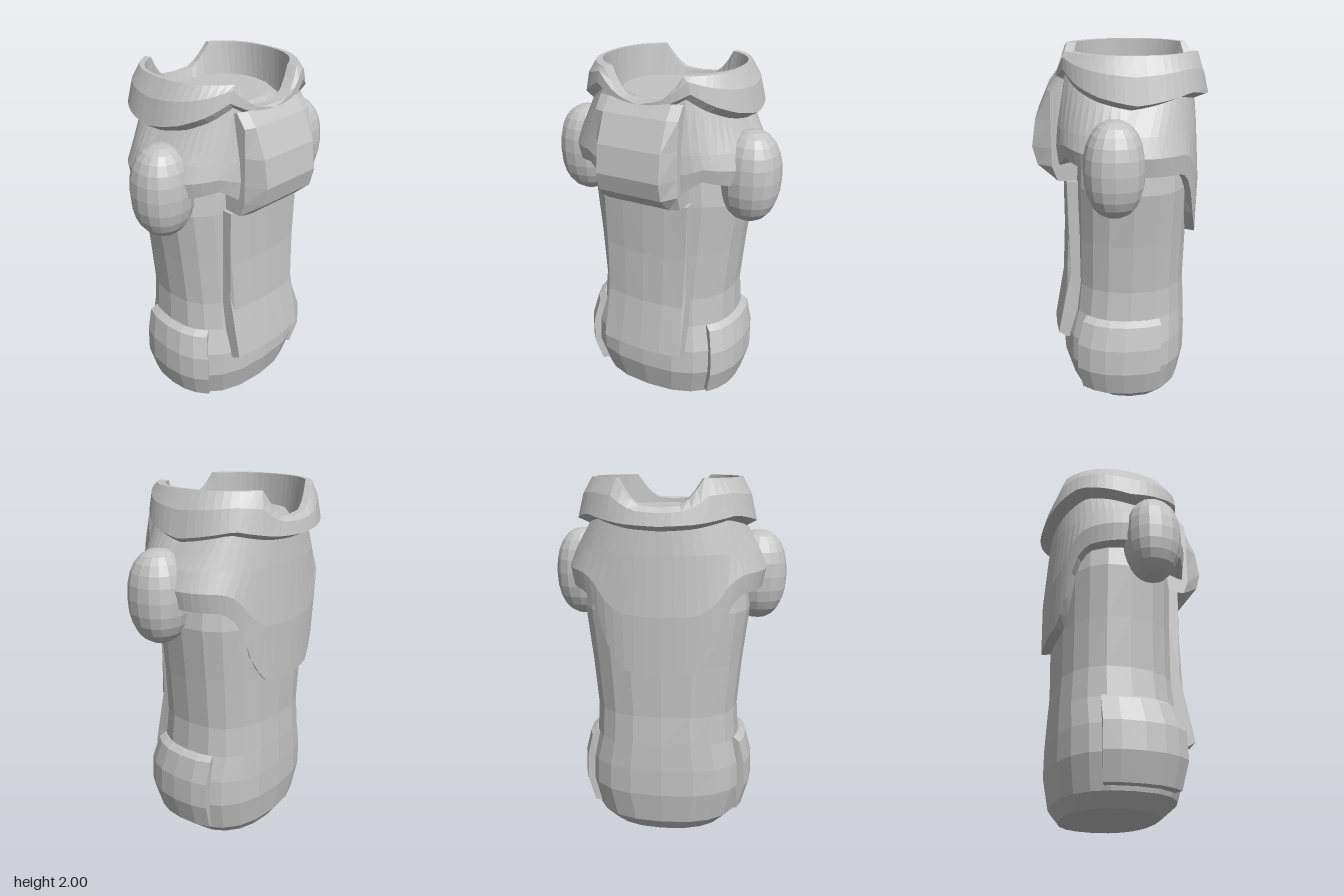
import * as THREE from 'three';

// Linear interpolation through [key, value] pairs
function lerpTable(table, k) {
  for (let i = 1; i < table.length; i++) {
    const [k0, v0] = table[i - 1], [k1, v1] = table[i];
    if (k <= k1) return v0 + (v1 - v0) * (k - k0) / (k1 - k0);
  }
  return table[table.length - 1][1];
}

// Point on a rounded oval; deg runs from the front (0) past +x (90) to the back (180)
function oval(deg, y, a, front, back, power = 2.3) {
  const t = deg * Math.PI / 180, p = 2 / power;
  const s = Math.sin(t), c = Math.cos(t);
  const bend = v => Math.sign(v) * Math.abs(v) ** p;
  return [a * bend(s), y, (front + back) / 2 + (front - back) / 2 * bend(c)];
}

// Skin over closed rings; either joined end to start or capped
function loft(rings, joined = false) {
  const n = rings[0].length, m = rings.length;
  const pos = rings.flat(2), idx = [];
  for (let i = 0; i < (joined ? m : m - 1); i++) {
    for (let j = 0; j < n; j++) {
      const a = i * n + j, b = i * n + (j + 1) % n;
      const k = ((i + 1) % m) * n, c = k + j, d = k + (j + 1) % n;
      idx.push(a, b, d, a, d, c);
    }
  }
  if (!joined) {
    [0, m - 1].forEach(r => {
      const mid = pos.length / 3;
      for (let q = 0; q < 3; q++) pos.push(rings[r].reduce((s, v) => s + v[q], 0) / n);
      for (let j = 0; j < n; j++) {
        const a = r * n + j, b = r * n + (j + 1) % n;
        if (r === 0) idx.push(mid, b, a); else idx.push(mid, a, b);
      }
    });
  }
  // Turn the faces outward if the enclosed volume is negative
  const at = i => new THREE.Vector3().fromArray(pos, i * 3);
  let volume = 0;
  for (let i = 0; i < idx.length; i += 3) volume += at(idx[i]).dot(at(idx[i + 1]).cross(at(idx[i + 2])));
  if (volume < 0) idx.reverse();
  const g = new THREE.BufferGeometry();
  g.setAttribute('position', new THREE.Float32BufferAttribute(pos, 3));
  g.setIndex(idx);
  const flat = g.toNonIndexed();
  flat.computeVertexNormals();
  return flat;
}

const steps = (from, to, count) => Array.from({ length: count + 1 }, (_, i) => from + (to - from) * i / count);

export function createModel() {
  const model = new THREE.Group();
  const grey = new THREE.MeshStandardMaterial({ color: 0xc4c4c4, flatShading: true });
  grey.name = 'plainGrey';
  const add = (name, geometry) => {
    const mesh = new THREE.Mesh(geometry, grey);
    mesh.name = name;
    model.add(mesh);
    return mesh;
  };

  // Body: y, half width, front z, back z, squareness; ends in a low dome inside the collar
  const bodyRows = [
    [0, 0.34, 0.21, -0.31, 2.3], [0.07, 0.415, 0.29, -0.36, 2.4], [0.25, 0.46, 0.34, -0.39, 2.5],
    [0.4, 0.455, 0.335, -0.39, 2.5], [0.55, 0.415, 0.295, -0.385, 2.5], [0.72, 0.405, 0.275, -0.375, 2.5],
    [1.0, 0.43, 0.27, -0.38, 2.5], [1.3, 0.465, 0.27, -0.39, 2.5], [1.5, 0.44, 0.26, -0.38, 2.4],
    [1.75, 0.39, 0.27, -0.36, 2.3], [1.845, 0.287, 0.18, -0.31, 2.3],
  ];
  add('body', loft(bodyRows.map(r => steps(0, 342, 19).map(d => oval(d, ...r)))));

  // Collar: hem, lip and rim heights by angle from front to back
  const hem = [[0, 1.4], [20, 1.4], [26, 1.42], [34, 1.48], [60, 1.44], [100, 1.42], [130, 1.41],
    [141, 1.34], [152, 1.1], [162, 1.0], [180, 0.98]];
  const lip = [[0, 1.8], [30, 1.92], [45, 1.86], [65, 1.81], [90, 1.77], [130, 1.82], [160, 1.78], [180, 1.77]];
  const rim = [[0, 1.86], [12, 1.87], [20, 1.91], [30, 2], [150, 2], [160, 1.91], [168, 1.87], [180, 1.86]];
  const collar = steps(0, 354, 59).map(d => {
    const k = d > 180 ? 360 - d : d;
    const h = lerpTable(hem, k), l = lerpTable(lip, k), r = lerpTable(rim, k);
    return [
      [h, 0.43, 0.23, -0.36],
      [h, 0.53, 0.36, -0.435],
      [(h + 1.62) / 2, 0.55, 0.37, -0.44],
      [1.62, 0.51, 0.365, -0.42],
      [l - 0.03, 0.43, 0.33, -0.41],
      [l, 0.485, 0.345, -0.48],
      [(l + r) / 2 + 0.02, 0.455, 0.345, -0.465],
      [r, 0.405, 0.33, -0.44],
      [r, 0.385, 0.27, -0.4],
      [1.74, 0.385, 0.265, -0.355],
    ].map(p => oval(d, ...p));
  });
  add('collar', loft(collar, true));

  // Bulging block at the front of the collar: y, z profile, with chamfered sides
  const blockProfile = [[1.32, 0.24], [1.32, 0.36], [1.4, 0.45], [1.5, 0.475], [1.65, 0.452],
    [1.8, 0.385], [1.87, 0.33], [1.85, 0.28]];
  add('frontBlock', loft([-0.235, -0.18, 0.18, 0.235].map(x =>
    blockProfile.map(([y, z]) => [x, y, Math.abs(x) > 0.2 ? Math.min(z, 0.39) - 0.02 : z]))));

  // Long front plate, slightly bowed: y, half width, z
  const plateProfile = [[1.32, 0.255, 0.22], [1.32, 0.255, 0.318], [1.0, 0.245, 0.318],
    [0.7, 0.235, 0.333], [0.4, 0.25, 0.387], [0.37, 0.25, 0.345], [0.37, 0.25, 0.24]];
  add('frontPlate', loft([-1, -0.5, 0, 0.5, 1].map(s =>
    plateProfile.map(([y, w, z]) => [s * w, y, z - 0.025 * s * s]))));

  for (const side of [1, -1]) {
    const label = side > 0 ? 'left' : 'right';

    // Raised pad wrapped round the foot of the body
    const padRows = [[0.09, 0.4, 0.27, -0.34], [0.1, 0.455, 0.34, -0.395], [0.25, 0.498, 0.38, -0.425],
      [0.4, 0.495, 0.375, -0.425], [0.53, 0.462, 0.335, -0.415], [0.555, 0.425, 0.305, -0.39],
      [0.54, 0.39, 0.26, -0.36]];
    add(label + 'FootPad', loft(steps(50, 114, 5).map(d => padRows.map(r => oval(side * d, ...r, 2.4)))));

    // Rounded shoulder pod
    const sphere = new THREE.SphereGeometry(1, 16, 12);
    const p = sphere.attributes.position;
    const puff = v => Math.sign(v) * Math.abs(v) ** 0.88;
    for (let i = 0; i < p.count; i++) {
      p.setXYZ(i, puff(p.getX(i)) * 0.16, puff(p.getY(i)) * 0.25, puff(p.getZ(i)) * 0.157);
    }
    sphere.computeVertexNormals();
    add(label + 'ShoulderPod', sphere).position.set(side * 0.503, 1.46, 0.047);
  }
  return model;
}
